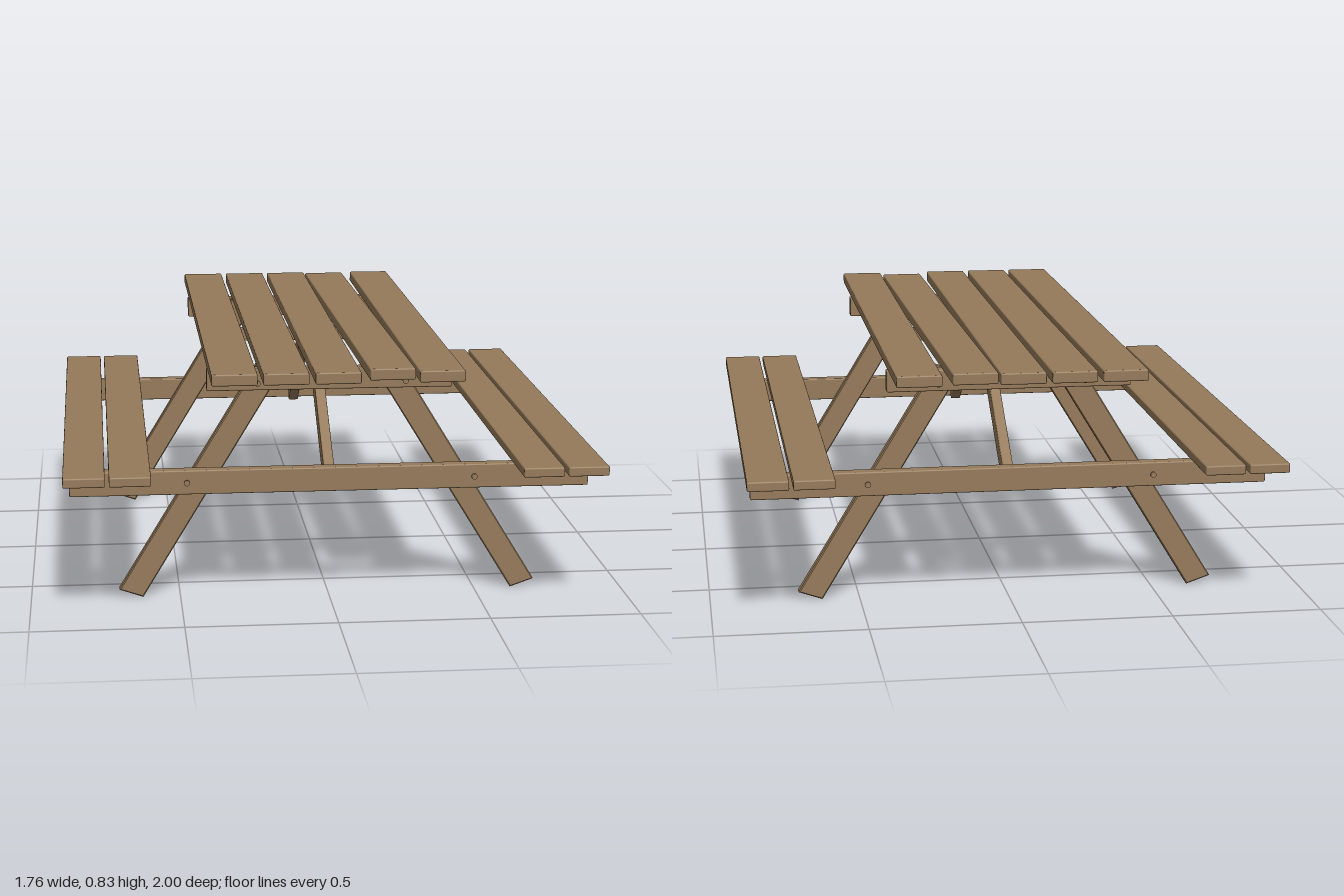
import * as THREE from 'three';
import { RoundedBoxGeometry } from 'three/addons/geometries/RoundedBoxGeometry.js';

export function createModel() {
  const model = new THREE.Group();
  model.name = 'picnicTable';
  const wood = new THREE.MeshStandardMaterial({ color: 0x957a5a });
  wood.name = 'brown wood';

  function add(name, geometry, x, y, z) {
    const mesh = new THREE.Mesh(geometry, wood);
    mesh.name = name;
    mesh.position.set(x, y, z);
    model.add(mesh);
    return mesh;
  }
  // Timber with slightly eased edges
  const timber = (name, w, h, d, x, y, z) =>
    add(name, new RoundedBoxGeometry(w, h, d, 2, 0.005), x, y, z);

  // Table top: four straight planks and one that has slipped askew
  for (const x of [-0.333, -0.168, -0.002, 0.332]) {
    timber('topPlank', 0.147, 0.038, 2, x, 0.81, 0);
  }
  timber('loosePlank', 0.147, 0.038, 1.937, 0.164, 0.81, -0.015).rotation.y = 0.0145;

  // Bench seats, two planks on each side
  for (const side of [-1, 1]) {
    for (const x of [0.668, 0.815]) {
      timber('seatPlank', 0.134, 0.032, 2, side * x, 0.486, 0);
    }
  }

  // Centre cleat under the top
  timber('centreCleat', 0.74, 0.04, 0.06, 0, 0.77, 0);

  // Leg outline with slanted ends, drawn for the +x side
  const bevel = 0.004;
  const legShape = (side) => {
    const points = [[0.627, 0.004], [0.7, 0.029], [0.238, 0.786], [0.164, 0.762]]
      .map(([x, y]) => new THREE.Vector2(side * x, y));
    return new THREE.Shape(points);
  };

  for (const end of [-1, 1]) {
    // Cross beams
    timber('topBeam', 0.815, 0.072, 0.044, 0, 0.751, end * 0.692);
    timber('seatBeam', 1.728, 0.082, 0.044, 0, 0.42, end * 0.74);

    // Diagonal brace from the seat beam up to the cleat
    timber('brace', 0.036, 0.065, 0.66, 0, 0.591, end * 0.414).rotation.x = end * 0.6;

    for (const side of [-1, 1]) {
      // Splayed leg
      const leg = new THREE.ExtrudeGeometry(legShape(side), {
        depth: 0.038 - 2 * bevel, bevelSize: bevel, bevelThickness: bevel, bevelSegments: 1,
      });
      leg.translate(0, 0, -0.019 + bevel);
      add('leg', leg, 0, 0, end * 0.641);

      // Bolt heads
      for (const [x, y] of [[0.244, 0.75], [0.478, 0.42]]) {
        const bolt = new THREE.CylinderGeometry(0.01, 0.01, 0.006, 12);
        add('bolt', bolt, side * x, y, end * 0.77).rotation.x = Math.PI / 2;
      }
    }
  }
  return model;
}
